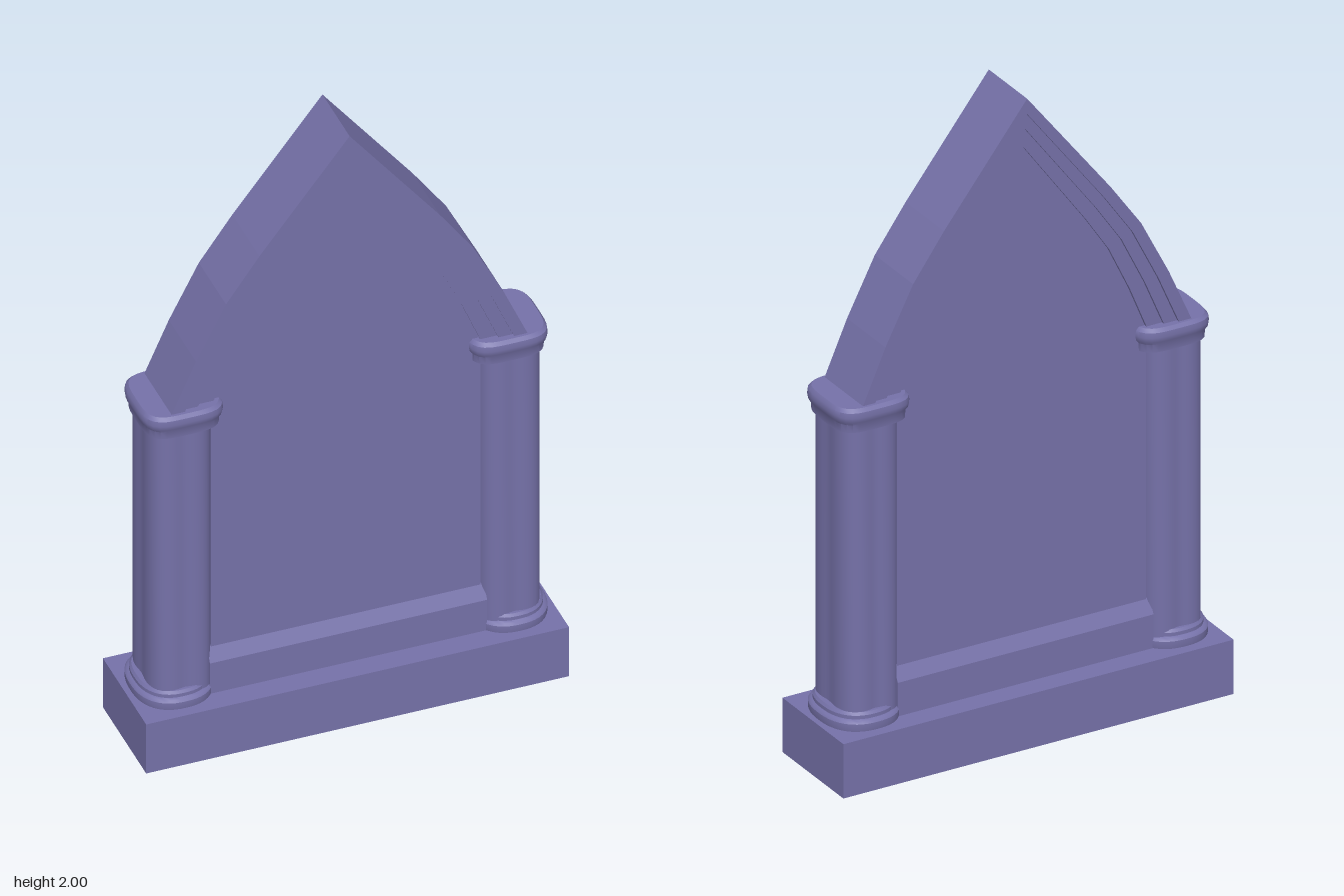
import * as THREE from 'three';
import { toCreasedNormals } from 'three/addons/utils/BufferGeometryUtils.js';

const material = new THREE.MeshStandardMaterial({ color: 0x7571a8 });

function add(parent, name, geometry) {
  const mesh = new THREE.Mesh(geometry, material);
  mesh.name = name;
  parent.add(mesh);
  return mesh;
}

// Rounded-square loft through rows of [y, half width, half depth]; groove flutes each face.
function loft(rows, power, groove = 0) {
  const closed = [[rows[0][0], 0, 0], ...rows, [rows[rows.length - 1][0], 0, 0]];
  const segments = 48;
  const geometry = new THREE.LatheGeometry(closed.map((r) => new THREE.Vector2(1, r[0])), segments);
  const position = geometry.attributes.position;
  for (let i = 0; i <= segments; i++) {
    const a = (i / segments) * Math.PI * 2;
    const s = Math.sin(a), c = Math.cos(a);
    const k = Math.pow(Math.abs(s) ** power + Math.abs(c) ** power, -1 / power)
      * (1 - groove * Math.cos(2 * a) ** 8);
    closed.forEach(([y, rx, rz], j) => position.setXYZ(i * closed.length + j, s * k * rx, y, c * k * rz));
  }
  return toCreasedNormals(geometry, 0.6);
}

// Pointed outline, shrunk toward the springing line, t = 0 outside to 1 inside.
const SPRING = 1.17;
const curve = [[0.535, 1.17], [0.46, 1.34], [0.37, 1.515], [0.27, 1.655], [0, 2]];
function archPoints(t, foot) {
  const kx = 1 - 0.25 * t, ky = 1 - 0.193 * t;
  const half = curve.map(([x, y]) => new THREE.Vector2(x * kx, SPRING + (y - SPRING) * ky));
  half.unshift(new THREE.Vector2(half[0].x, foot));
  const mirrored = half.slice(0, -1).reverse().map((p) => new THREE.Vector2(-p.x, p.y));
  return [...half, ...mirrored];
}

function extrude(points, depth) {
  return new THREE.ExtrudeGeometry(new THREE.Shape(points), { depth, bevelEnabled: false })
    .translate(0, 0, -depth / 2);
}

export function createModel() {
  const model = new THREE.Group();
  model.name = 'pointedArchNiche';

  add(model, 'plinth', new THREE.BoxGeometry(1.266, 0.17, 0.334).translate(0, 0.085, 0));
  add(model, 'backPanel', extrude(archPoints(0.98, 0.16), 0.15));

  // Three stepped mouldings, each one shallower toward the panel
  const arch = new THREE.Group();
  arch.name = 'archMouldings';
  model.add(arch);
  const steps = [0, 0.3, 0.62, 1];
  for (let i = 0; i < 3; i++) {
    const outer = archPoints(steps[i], 1.14);
    const inner = archPoints(steps[i + 1], 1.14);
    add(arch, 'moulding' + (i + 1), extrude([...outer, ...inner.reverse()], 0.21 - 0.02 * i));
  }

  // Sill with sloping top on both faces
  const sill = new THREE.Shape([
    [-0.097, 0.16], [0.097, 0.16], [0.097, 0.275], [0.073, 0.32], [-0.073, 0.32], [-0.097, 0.275],
  ].map(([x, y]) => new THREE.Vector2(x, y)));
  add(model, 'sill', new THREE.ExtrudeGeometry(sill, { depth: 0.83, bevelEnabled: false })
    .translate(0, 0, -0.415).rotateY(Math.PI / 2));

  // Columns
  for (const side of [-1, 1]) {
    const column = new THREE.Group();
    column.name = side > 0 ? 'leftColumn' : 'rightColumn';
    model.add(column);
    add(column, 'columnBase', loft([
      [0.16, 0.112, 0.131], [0.175, 0.116, 0.135], [0.193, 0.116, 0.135], [0.2, 0.111, 0.13],
      [0.203, 0.104, 0.122], [0.214, 0.104, 0.122], [0.222, 0.098, 0.116],
    ], 2.4)).position.x = side * 0.501;
    add(column, 'shaft', loft([[0.2, 0.094, 0.112], [1.12, 0.094, 0.112]], 3.5, 0.05))
      .position.x = side * 0.493;
    add(column, 'capital', loft([
      [1.1, 0.112, 0.114], [1.125, 0.113, 0.116], [1.135, 0.12, 0.122], [1.15, 0.122, 0.125],
      [1.165, 0.12, 0.123], [1.175, 0.112, 0.114],
    ], 4)).position.x = side * 0.486;
  }
  return model;
}
